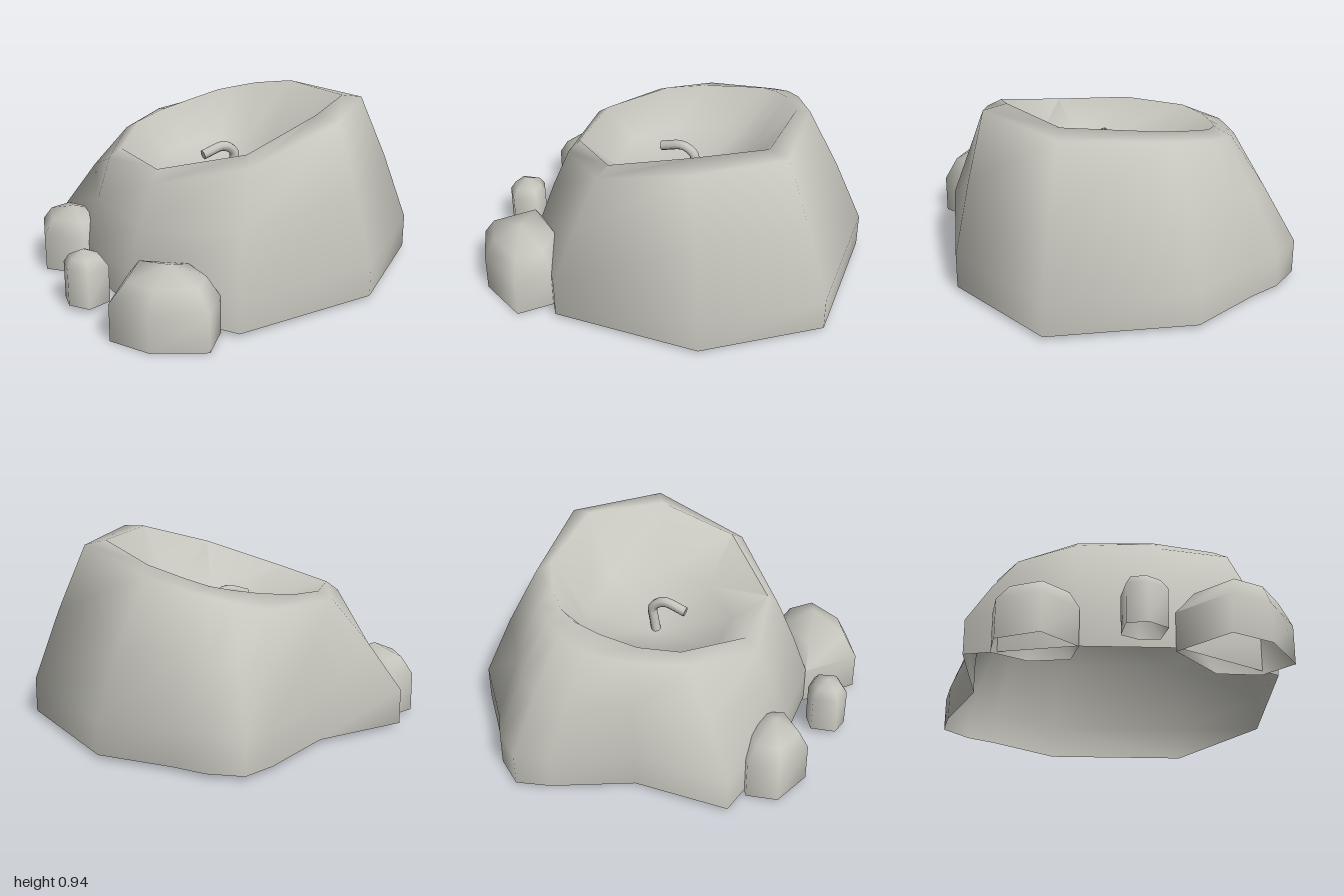
import * as THREE from 'three';
import { toCreasedNormals } from 'three/addons/utils/BufferGeometryUtils.js';

const stone = new THREE.MeshStandardMaterial({ color: 0xc6c5bd, side: THREE.DoubleSide });
stone.name = 'stone grey';

// Skin closed rings of [x, y, z] points, finishing in a single apex point
function loft(rings, apex, crease) {
  const n = rings[0].length;
  const index = [];
  for (let r = 0; r < rings.length; r++) {
    for (let c = 0; c < n; c++) {
      const a = r * n + c;
      const b = r * n + (c + 1) % n;
      if (r < rings.length - 1) index.push(b, a, a + n, b, a + n, b + n);
      else index.push(b, a, rings.length * n);
    }
  }
  const g = new THREE.BufferGeometry();
  g.setAttribute('position', new THREE.Float32BufferAttribute([...rings.flat(2), ...apex], 3));
  g.setIndex(index);
  g.computeVertexNormals();
  return toCreasedNormals(g, crease);
}

function add(group, geometry, name) {
  const mesh = new THREE.Mesh(geometry, stone);
  mesh.name = name;
  group.add(mesh);
}

// Each column of the hollow rock: base x, z, outer rim x, y, z, inner rim x, y, z
const columns = [
  [-0.14, -1.0, -0.13, 0.85, -0.69, -0.08, 0.885, -0.62],
  [0.6, -0.84, 0.44, 0.91, -0.61, 0.39, 0.93, -0.51],
  [0.86, -0.23, 0.67, 0.93, -0.16, 0.54, 0.94, -0.13],
  [0.68, 0.53, 0.52, 0.77, 0.32, 0.46, 0.815, 0.27],
  [0.1, 0.73, 0.08, 0.63, 0.56, 0.06, 0.69, 0.5],
  [-0.36, 0.63, -0.35, 0.63, 0.48, -0.32, 0.68, 0.42],
  [-0.86, 0.4, -0.58, 0.67, 0.17, -0.53, 0.71, 0.12],
  [-0.74, -0.08, -0.64, 0.7, -0.12, -0.55, 0.73, -0.09],
  [-0.82, -0.5, -0.61, 0.71, -0.35, -0.51, 0.76, -0.28],
  [-0.82, -0.68, -0.53, 0.75, -0.48, -0.46, 0.79, -0.42],
  [-0.67, -0.79, -0.46, 0.78, -0.56, -0.39, 0.81, -0.5],
  [-0.51, -0.84, -0.37, 0.8, -0.62, -0.29, 0.84, -0.56],
];

function rockGeometry() {
  const lerp = THREE.MathUtils.lerp;
  const foot = (y) => columns.map(([x, z]) => [x, y, z]);
  const wall = columns.map(([x, z, rx, ry, rz]) => [lerp(x, rx, 0.48), lerp(0.2, ry, 0.52), lerp(z, rz, 0.48)]);
  const outer = columns.map((c) => c.slice(2, 5));
  const inner = columns.map((c) => c.slice(5));
  const floor = inner.map(([x, y, z]) => [lerp(-0.02, x, 0.68), 0.55 + (y - 0.7) * 0.2, lerp(-0.07, z, 0.68)]);
  return loft([foot(0.02), foot(0.2), wall, outer, inner, floor], [-0.03, 0.47, -0.09], 1.5);
}

// Capped boulder: outline of [x, z], upright side, sloping shoulder, apex
function boulder(outline, baseY, sideY, shoulderY, apex) {
  const ring = (s, y) => outline.map(([x, z]) => [
    apex[0] + (x - apex[0]) * s, y, apex[2] + (z - apex[2]) * s]);
  return loft([ring(1, baseY), ring(1, sideY), ring(0.72, shoulderY)], apex, 1.5);
}

export function createModel() {
  const group = new THREE.Group();
  group.name = 'hollowRock';
  add(group, rockGeometry(), 'rockBasin');

  // Three boulders along the front
  add(group, boulder(
    [[0.36, 0.52], [0.58, 0.56], [0.685, 0.73], [0.49, 0.94], [0.27, 1.0], [0.09, 0.73]],
    0, 0.2, 0.31, [0.43, 0.38, 0.75]), 'largeBoulder');
  add(group, boulder(
    [[-0.55, 0.42], [-0.36, 0.49], [-0.355, 0.65], [-0.56, 0.77], [-0.75, 0.64], [-0.74, 0.48]],
    0.01, 0.21, 0.29, [-0.52, 0.345, 0.6]), 'mediumBoulder');
  add(group, boulder(
    [[-0.09, 0.75], [0, 0.78], [0, 0.91], [-0.11, 0.955], [-0.2, 0.91], [-0.19, 0.78]],
    0.03, 0.23, 0.275, [-0.11, 0.31, 0.85]), 'smallBoulder');

  // Bent spout rising from the basin floor
  const bend = new THREE.CatmullRomCurve3([
    [-0.01, 0.45, -0.08], [-0.005, 0.54, -0.095], [-0.005, 0.61, -0.1],
    [-0.02, 0.655, -0.04], [-0.055, 0.625, 0.08],
  ].map((p) => new THREE.Vector3(...p)));
  add(group, new THREE.TubeGeometry(bend, 16, 0.026, 8), 'spout');
  // Closed mouth of the spout
  const cap = new THREE.CircleGeometry(0.026, 8);
  cap.lookAt(bend.getTangent(1));
  cap.translate(...bend.getPoint(1).toArray());
  add(group, cap, 'spoutEnd');
  return group;
}
